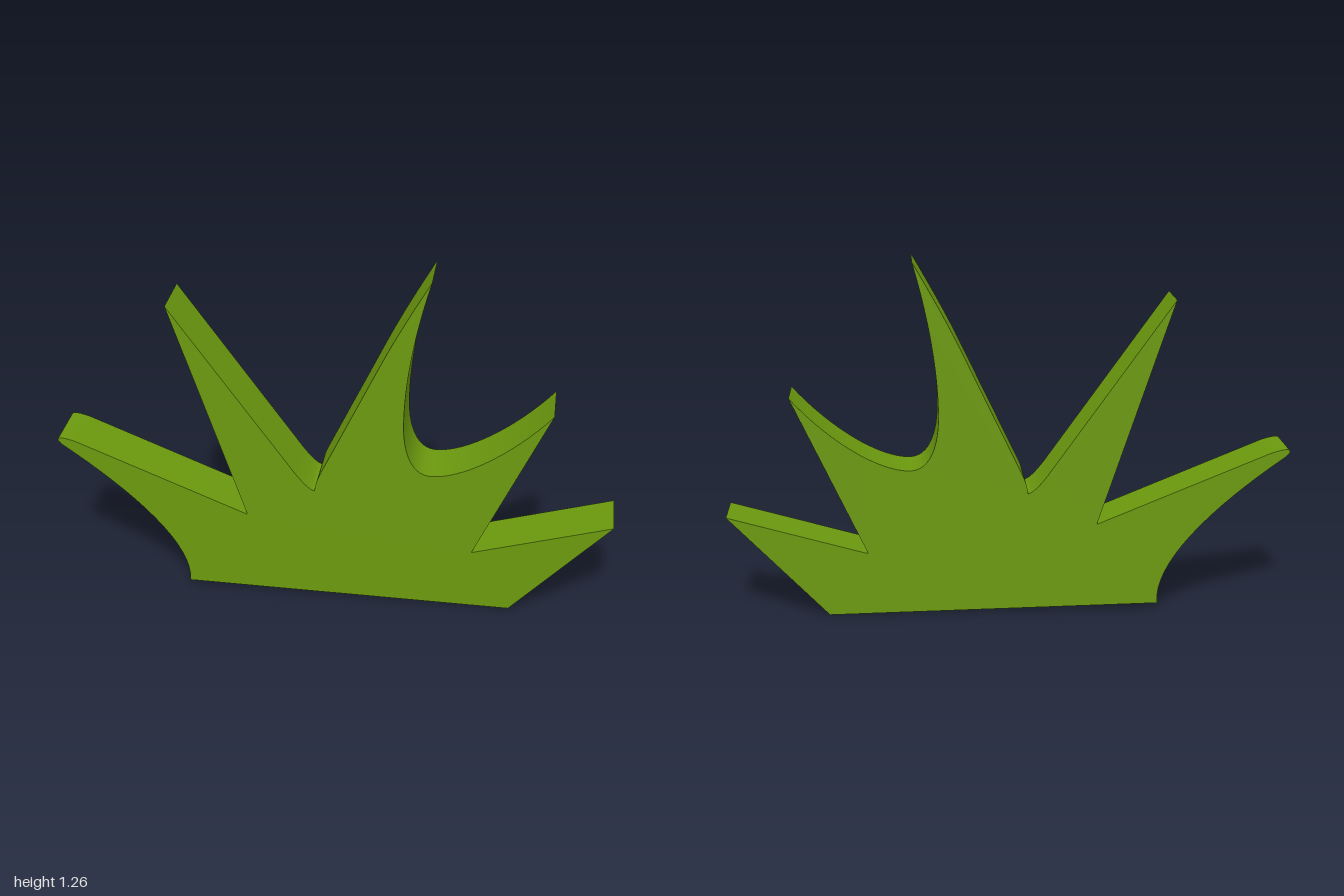
import * as THREE from 'three';
import { toCreasedNormals } from 'three/addons/utils/BufferGeometryUtils.js';

export function createModel() {
  const model = new THREE.Group();
  model.name = 'grassTuft';

  // Outline, counter-clockwise from the lower corner on the -x side
  const s = new THREE.Shape();
  s.moveTo(-0.535, 0.02);
  s.lineTo(0.635, 0);
  // low outer blade
  s.lineTo(0.99, 0.365);
  s.lineTo(0.495, 0.225);
  // short blade and the rounded hollow beside it
  s.lineTo(0.76, 0.79);
  s.bezierCurveTo(0.62, 0.63, 0.45, 0.525, 0.345, 0.525);
  s.bezierCurveTo(0.27, 0.525, 0.243, 0.62, 0.243, 0.72);
  // tallest blade
  s.bezierCurveTo(0.243, 0.88, 0.275, 1.07, 0.33, 1.262);
  s.quadraticCurveTo(0.225, 1.08, 0.165, 0.955);
  s.lineTo(-0.04, 0.525);
  s.quadraticCurveTo(-0.068, 0.47, -0.07, 0.435);
  s.quadraticCurveTo(-0.09, 0.435, -0.14, 0.5);
  // second tall blade
  s.lineTo(-0.585, 1.12);
  s.lineTo(-0.315, 0.318);
  // drooping blade with a rounded tip and curved underside
  s.lineTo(-0.93, 0.568);
  s.bezierCurveTo(-0.985, 0.587, -1.02, 0.587, -0.985, 0.555);
  s.bezierCurveTo(-0.72, 0.37, -0.52, 0.17, -0.535, 0.02);

  const extruded = new THREE.ExtrudeGeometry(s, { depth: 0.2, bevelEnabled: false, curveSegments: 16 });
  extruded.translate(0, 0, -0.1);

  const blades = new THREE.Mesh(
    toCreasedNormals(extruded, Math.PI / 7),
    new THREE.MeshStandardMaterial({ color: 0x6b990e })
  );
  blades.name = 'grassBlades';
  model.add(blades);
  return model;
}
